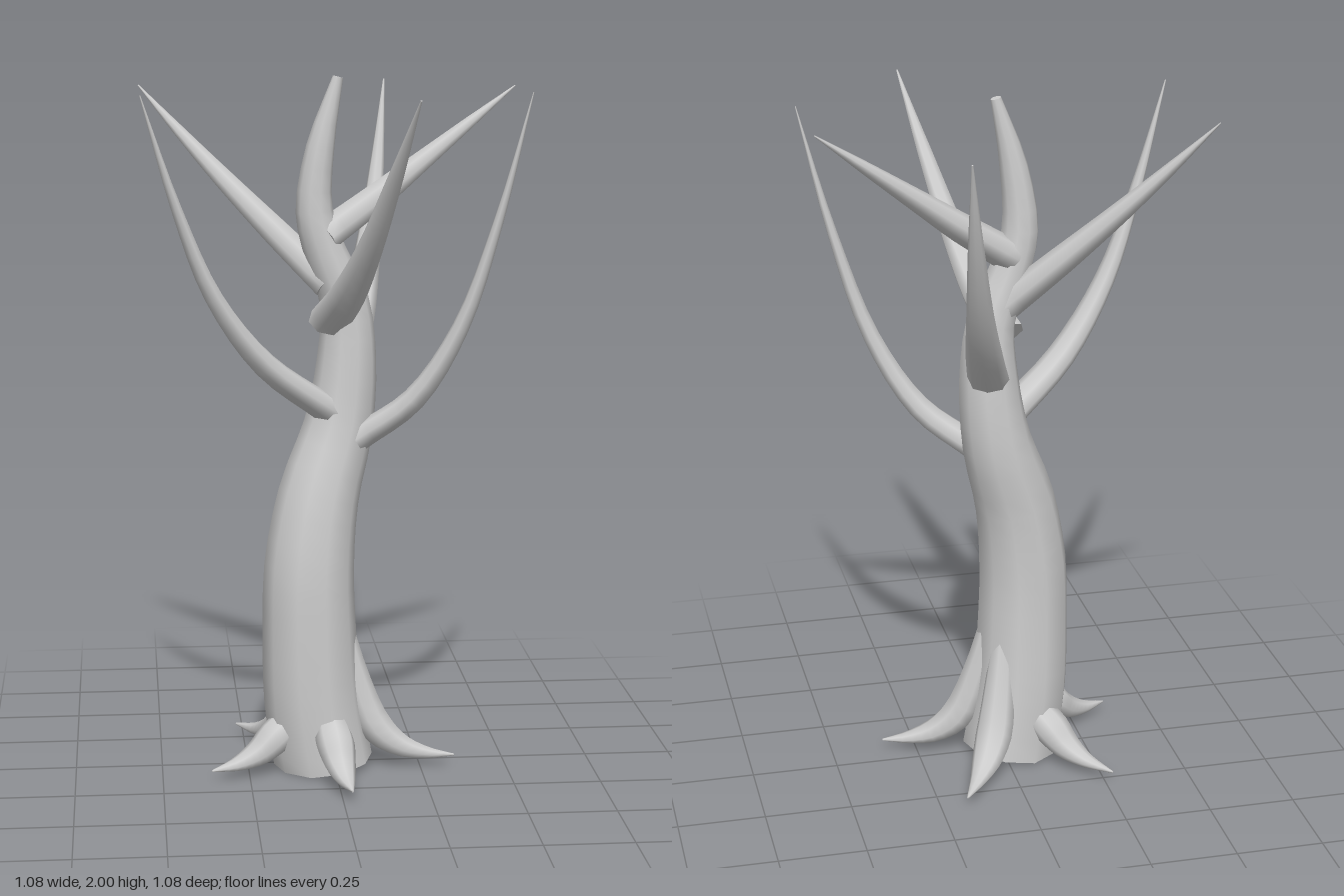
import * as THREE from 'three';

const bark = new THREE.MeshStandardMaterial({ color: 0xcccccc });
bark.name = 'bark';

// Smooth tapered limb. Each point is [x, y, z, half width, half depth].
function limb(name, points, sides, steps, fixedSide) {
  const path = new THREE.CatmullRomCurve3(points.map(p => new THREE.Vector3(p[0], p[1], p[2])));
  const sizes = new THREE.CatmullRomCurve3(points.map(p => new THREE.Vector3(p[3], p[4], 0)));
  const first = points[0], last = points[points.length - 1];
  // Side axis stays level and square to the direction of growth
  const side = fixedSide || new THREE.Vector3(last[2] - first[2], 0, first[0] - last[0]).normalize();
  const pos = [], idx = [];
  const ring = i => {
    const t = i / steps, c = path.getPoint(t), r = sizes.getPoint(t);
    const tan = path.getTangent(t);
    const s = side.clone().addScaledVector(tan, -side.dot(tan)).normalize();
    const n = tan.clone().cross(s);
    for (let j = 0; j < sides; j++) {
      const a = j / sides * Math.PI * 2;
      const v = c.clone().addScaledVector(s, Math.cos(a) * r.x).addScaledVector(n, Math.sin(a) * r.y);
      pos.push(v.x, Math.max(v.y, 0), v.z);
    }
  };
  for (let i = 0; i <= steps; i++) ring(i);
  for (let i = 0; i < steps; i++) {
    for (let j = 0; j < sides; j++) {
      const k = (j + 1) % sides, a = i * sides + j, b = i * sides + k;
      idx.push(a, b, a + sides, b, b + sides, a + sides);
    }
  }
  // End caps with their own vertices, so their edges stay sharp
  for (const end of [0, steps]) {
    const base = pos.length / 3;
    ring(end);
    for (let j = 1; j < sides - 1; j++) {
      if (end === 0) idx.push(base, base + j + 1, base + j);
      else idx.push(base, base + j, base + j + 1);
    }
  }
  const geo = new THREE.BufferGeometry();
  geo.setAttribute('position', new THREE.Float32BufferAttribute(pos, 3));
  geo.setIndex(idx);
  geo.computeVertexNormals();
  const mesh = new THREE.Mesh(geo, bark);
  mesh.name = name;
  return mesh;
}

export function createModel() {
  const tree = new THREE.Group();
  tree.name = 'bareTree';

  // Swaying trunk up to its blunt leader
  tree.add(limb('trunk', [
    [-0.03, 0.005, 0.015, 0.145], [-0.06, 0.2, 0.02, 0.142], [-0.07, 0.4, 0.025, 0.136],
    [-0.07, 0.6, 0.025, 0.13], [-0.042, 0.8, 0.01, 0.117], [0.018, 1.0, -0.018, 0.1],
    [0.042, 1.2, -0.023, 0.085], [0.035, 1.36, -0.02, 0.07], [-0.02, 1.5, -0.01, 0.06],
    [-0.052, 1.62, -0.005, 0.053], [-0.035, 1.8, 0, 0.04], [0.015, 1.995, 0, 0.015],
  ].map(p => [...p, p[3]]), 10, 33, new THREE.Vector3(1, 0, 0)));

  // Branches: base and tip in plan, then [share of reach, height] along the curve
  const branches = [
    ['lowLeftBranch', [0.07, 0.02], [0.54, 0.17], [[0, 0.97], [0.33, 1.09], [0.6, 1.3], [0.81, 1.6], [1, 1.96]], 0.052],
    ['lowRightBranch', [-0.01, 0.02], [-0.54, 0.245], [[0, 1.05], [0.36, 1.2], [0.63, 1.4], [0.82, 1.65], [1, 1.96]], 0.055],
    ['backBranch', [0.05, -0.06], [0.2, -0.54], [[0, 1.2], [0.3, 1.33], [0.56, 1.49], [0.8, 1.71], [1, 1.96]], 0.06],
    ['frontBranch', [-0.01, 0.01], [0.185, 0.54], [[0, 1.31], [0.22, 1.4], [0.46, 1.54], [0.74, 1.75], [1, 1.96]], 0.065],
    ['upperRightBranch', [-0.01, -0.02], [-0.54, -0.27], [[0, 1.41], [0.27, 1.55], [0.55, 1.7], [0.78, 1.83], [1, 1.96]], 0.062],
    ['upperLeftBranch', [-0.02, -0.01], [0.54, -0.16], [[0, 1.55], [0.26, 1.65], [0.5, 1.75], [0.75, 1.855], [1, 1.96]], 0.064],
  ];
  const taper = [1, 0.86, 0.62, 0.36, 0.04];
  for (const [name, base, tip, curve, r] of branches) {
    tree.add(limb(name, curve.map(([s, y], i) => [
      base[0] + (tip[0] - base[0]) * s, y, base[1] + (tip[1] - base[1]) * s,
      r * taper[i], r * 0.75 * taper[i],
    ]), 8, 16));
  }

  // Roots: [distance from trunk axis, height, half width, half depth]
  const shortRoot = [[0.08, 0.155, 0.045, 0.04], [0.15, 0.11, 0.056, 0.05], [0.21, 0.065, 0.046, 0.038],
    [0.28, 0.04, 0.028, 0.02]];
  const tallRoot = [[0.05, 0.44, 0.03, 0.03], [0.095, 0.26, 0.045, 0.042], [0.15, 0.12, 0.055, 0.05],
    [0.22, 0.062, 0.046, 0.036], [0.3, 0.038, 0.026, 0.018]];
  const roots = [
    ['leftRoot', 0.35, 0.07, tallRoot], ['backLeftRoot', 0.175, -0.33, tallRoot],
    ['frontRoot', 0.025, 0.37, shortRoot], ['rightRoot', -0.36, 0.16, shortRoot],
    ['backRightRoot', -0.27, -0.28, shortRoot],
  ];
  const cx = -0.03, cz = 0.015;
  for (const [name, x, z, profile] of roots) {
    const reach = Math.hypot(x - cx, z - cz);
    const dx = (x - cx) / reach, dz = (z - cz) / reach;
    const points = [...profile, [reach, 0.032, 0.003, 0.003]];
    tree.add(limb(name, points.map(([d, y, w, h]) => [cx + dx * d, y, cz + dz * d, w, h]), 8, 14));
  }
  return tree;
}
